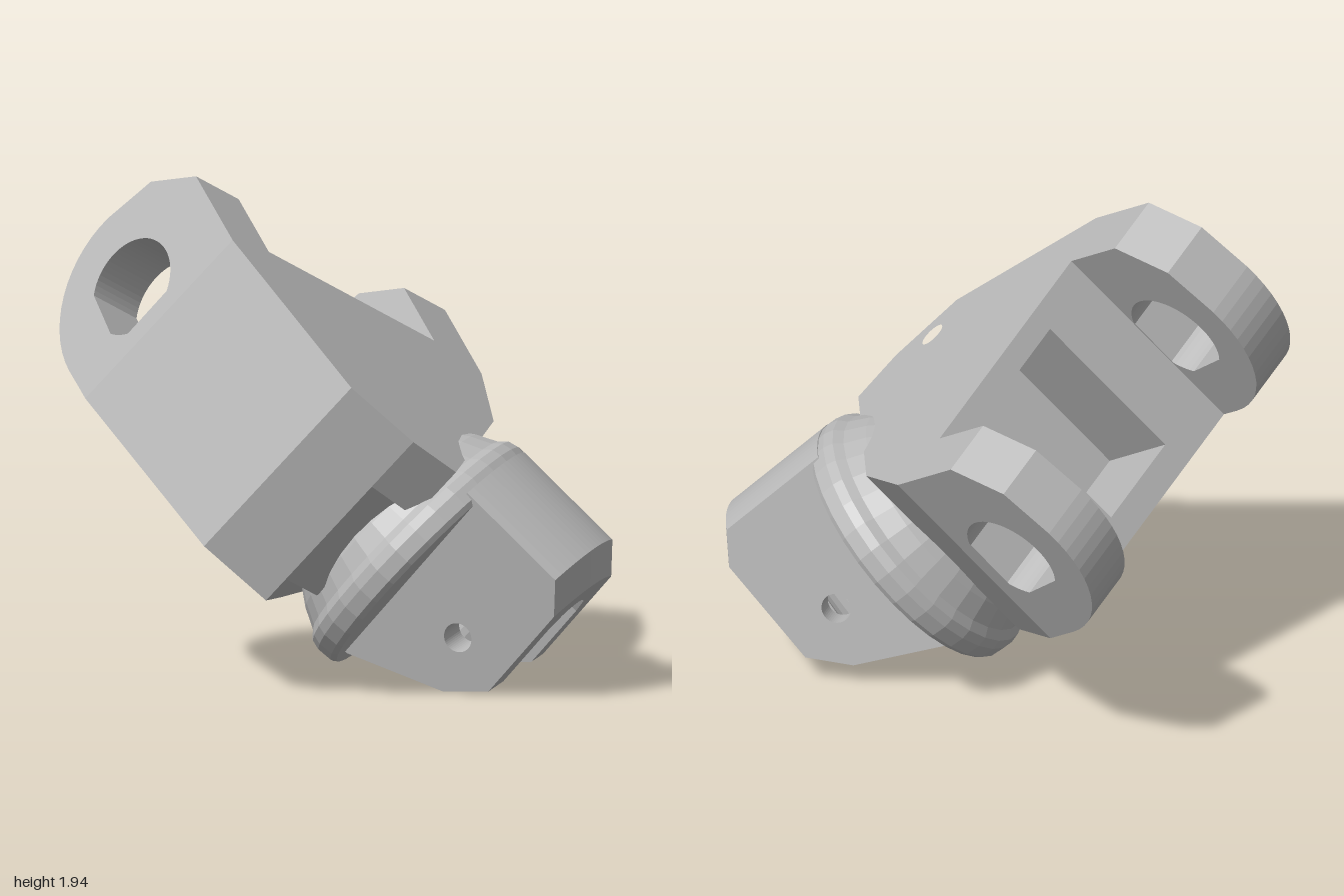
import * as THREE from 'three';

const steel = new THREE.MeshStandardMaterial({ color: 0xb8b8b8, flatShading: true });
steel.name = 'plain grey steel';

function part(name, geometry, parent) {
  const mesh = new THREE.Mesh(geometry, steel);
  mesh.name = name;
  parent.add(mesh);
  return mesh;
}

const polygon = pts => new THREE.Shape(pts.map(([x, y]) => new THREE.Vector2(x, y)));

function roundHole(x, y, r) {
  const path = new THREE.Path();
  path.absarc(x, y, r, 0, Math.PI * 2, true);
  return path;
}

const extrude = (shape, depth, steps = 1) =>
  new THREE.ExtrudeGeometry(shape, { depth, steps, bevelEnabled: false, curveSegments: 24 });

// Fork body: layers stacked along local y, with a blind pocket and an oil hole
function addBody(parent) {
  const layers = [
    ['bodyBase', 0.126, 0.244, false, false, [0, 0.6]],
    ['bodyMiddle', 0.244, 0.75, true, false, [0.1, 0.56]],
    ['bodyUpper', 0.75, 0.9, true, true, [0.166, 0.527]],
    ['bodyTop', 0.9, 0.995, false, true, [0.166, 0.527]],
  ];
  for (const [name, y0, y1, pocket, hole, corner] of layers) {
    const pts = [[-0.92, -0.155], [-0.85, -0.155], [-0.48, -0.03], corner,
      [0.1, 0.737], [-0.09, 0.993], [-0.85, 1.275], [-0.92, 1.275]];
    if (pocket) pts.push([-0.92, 0.756], [-0.5, 0.756], [-0.5, 0.366], [-0.92, 0.366]);
    const shape = polygon(pts.map(([x, z]) => [x, -z]));
    if (hole) shape.holes.push(roundHole(-0.104, -0.804, 0.052));
    part(name, extrude(shape, y1 - y0).rotateX(-Math.PI / 2).translate(0, y0, 0), parent);
  }
}

// Ear with a rounded nose, clipped upper corner and a hole with one pointed corner
function earShape() {
  const cx = -1.02, cy = 0.56, r = 0.435;
  const pts = [[-0.92, 0.995], [-0.92, 0.126]];
  for (let i = 0; i <= 14; i++) {
    const t = Math.PI * (1.5 - (0.52 * i) / 14);
    pts.push([cx + r * Math.cos(t), cy + r * Math.sin(t)]);
  }
  pts.push([-1.417, 0.819], [-1.25, 0.995]);
  const shape = polygon(pts);
  const hole = new THREE.Path();
  hole.moveTo(-1.111, 0.292);
  hole.absarc(-1.09, 0.53, 0.2, -1.08, 4.046, false);
  hole.closePath();
  shape.holes.push(hole);
  return shape;
}

// Shank: two cheeks with a cross hole, joined by a bridge over an open slot
function addShank(parent) {
  const slot = 0.13, front = 0.27, back = -0.24, radius = 0.55;
  const rim = Math.sqrt(radius * radius - front * front);

  const roundOff = geometry => {
    const p = geometry.attributes.position;
    for (let i = 0; i < p.count; i++) {
      const y = p.getY(i), z = p.getZ(i);
      if (y > 0.3) p.setY(i, y + Math.sqrt(radius * radius - z * z) - rim);
      else if (y > 0.2) p.setY(i, y + Math.sqrt(Math.max(0, slot * slot - z * z)) * 0.85);
    }
    geometry.computeVertexNormals();
    return geometry;
  };

  const cheek = polygon([[-0.14, -0.41], [-0.08, -0.4], [0.3, -0.22], [0.43, -0.08],
    [0.43, 0.36], [0.34, rim], [-0.14, rim]]);
  cheek.holes.push(roundHole(0.203, -0.006, 0.058));
  for (const [name, z0, z1] of [['frontCheek', slot, front], ['backCheek', back, -slot]])
    part(name, roundOff(extrude(cheek, z1 - z0, 4).translate(0, 0, z0)), parent);

  const bridge = polygon([[-0.14, 0.22], [0.43, 0.22], [0.43, 0.36], [0.34, rim], [-0.14, rim]]);
  part('slotBridge', roundOff(extrude(bridge, 2 * slot, 8).translate(0, 0, -slot)), parent);

  // Waisted post standing in the slot
  const waist = [[0.12, -0.2], [0.1, -0.08], [0.09, 0.05], [0.1, 0.18], [0.12, 0.34]];
  part('slotPost', new THREE.LatheGeometry(waist.map(([r, y]) => new THREE.Vector2(r, y)), 20)
    .translate(0.2, 0, 0), parent);
}

export function createModel() {
  const model = new THREE.Group();
  model.name = 'angledYoke';

  // Tilted frame: x along the fork, y across it, z along the pin axis
  const x = new THREE.Vector3(0.808, -0.505, 0.303).normalize();
  const z = x.clone().cross(new THREE.Vector3(0.579, 0.741, -0.341)).normalize();
  const y = z.clone().cross(x);
  const yoke = new THREE.Group();
  yoke.name = 'yoke';
  yoke.quaternion.setFromRotationMatrix(new THREE.Matrix4().makeBasis(x, y, z));
  model.add(yoke);

  addBody(yoke);
  const ear = earShape();
  part('frontEar', extrude(ear, 0.245).translate(0, 0, 1.03), yoke);
  part('backEar', extrude(ear, 0.235).translate(0, 0, -0.155), yoke);

  // Bent end: collar and shank share an axis turned away from the fork
  const bend = new THREE.Group();
  bend.name = 'bentEnd';
  bend.position.set(0.052, 0.545, 0.06);
  bend.rotation.set(THREE.MathUtils.degToRad(13), THREE.MathUtils.degToRad(41), 0, 'YXZ');
  yoke.add(bend);

  const profile = [[0, -0.42], [0.4, -0.42], [0.47, -0.32], [0.51, -0.24], [0.54, -0.21],
    [0.55, -0.17], [0.545, -0.11], [0.53, -0.09], [0, -0.09]].map(([r, s]) => new THREE.Vector2(r, s));
  part('collar', new THREE.LatheGeometry(profile, 32).rotateZ(-Math.PI / 2), bend);
  addShank(bend);

  return model;
}
